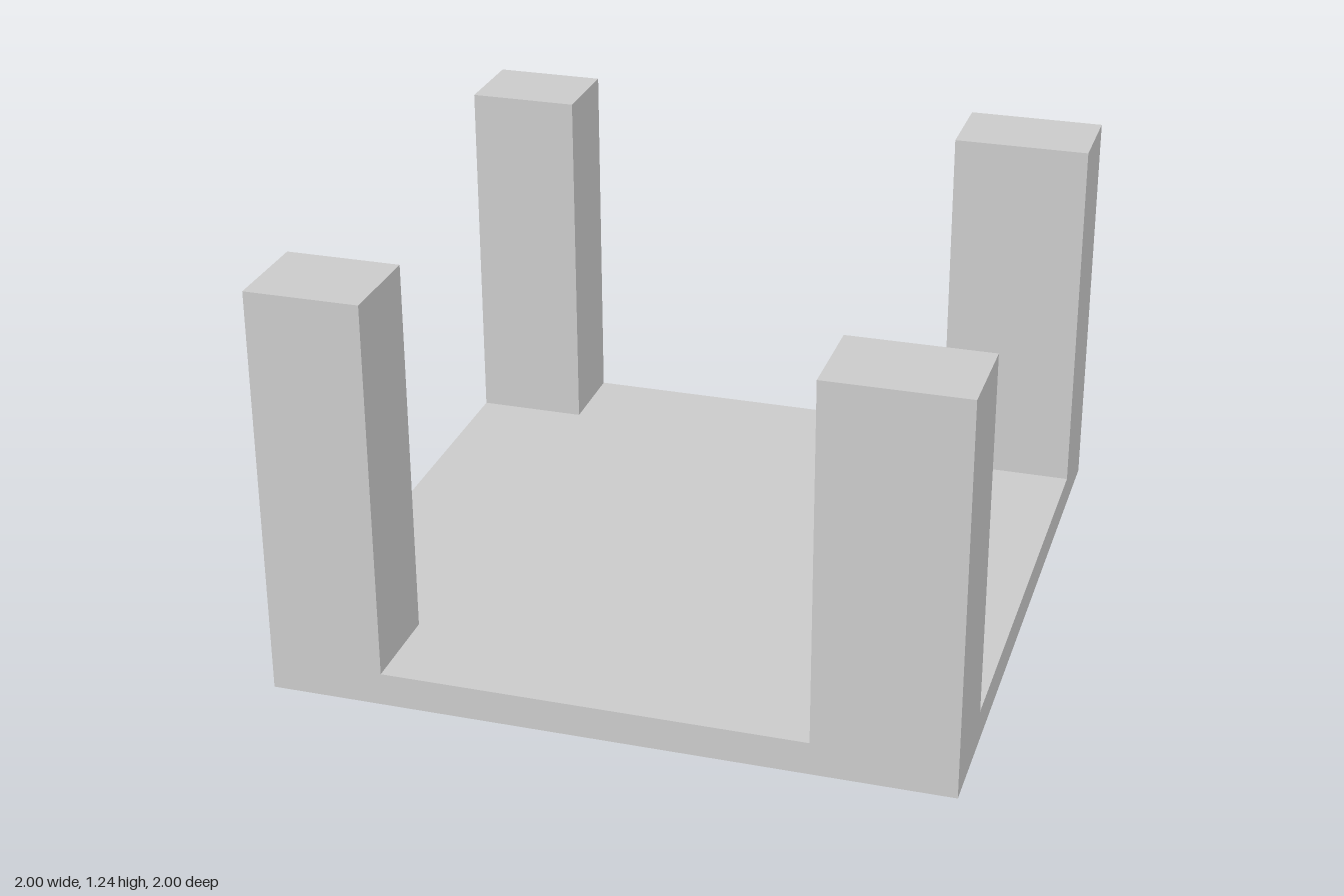
import * as THREE from 'three';

export function createModel() {
  const model = new THREE.Group();
  const material = new THREE.MeshStandardMaterial({ color: 0xcccccc, flatShading: true });
  const baseTop = 0.1;

  // Box given by its limits on each axis
  function block(name, [x0, x1], [y0, y1], [z0, z1]) {
    const mesh = new THREE.Mesh(new THREE.BoxGeometry(x1 - x0, y1 - y0, z1 - z0), material);
    mesh.position.set((x0 + x1) / 2, (y0 + y1) / 2, (z0 + z1) / 2);
    mesh.name = name;
    model.add(mesh);
  }

  // Square base slab
  block('base', [-1, 1], [0, baseTop], [-1, 1]);

  // Corner posts, flush with the slab edges, each with its own height
  const left = [0.587, 1], right = [-1, -0.665];
  const front = [0.712, 1], back = [-1, -0.735];
  block('frontLeftPost', left, [baseTop, 1.19], front);
  block('frontRightPost', right, [baseTop, 1.24], front);
  block('backLeftPost', left, [baseTop, 1.22], back);
  block('backRightPost', right, [baseTop, 1.21], back);

  return model;
}
